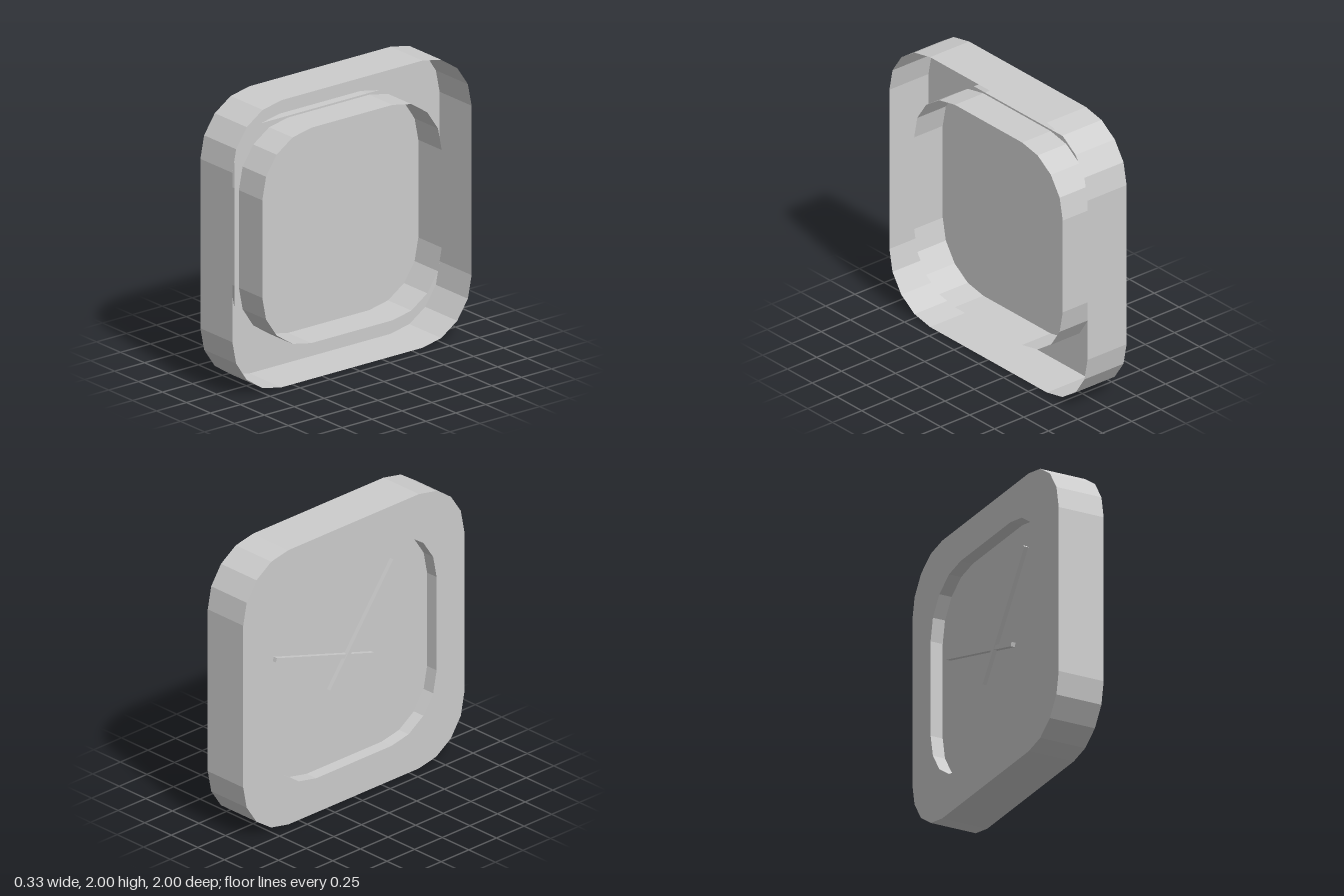
import * as THREE from 'three';

const HALF_DEPTH = 0.167, RADIUS = 0.41;

// Corner points of a rounded square, four facets per corner, anticlockwise
function roundedSquare(half) {
  const points = [], c = half - RADIUS;
  for (let corner = 0; corner < 4; corner++) {
    const mid = Math.PI / 4 + corner * Math.PI / 2;
    const cx = Math.sign(Math.cos(mid)) * c, cy = Math.sign(Math.sin(mid)) * c;
    for (let i = 0; i <= 4; i++) {
      const a = (corner + i / 4) * Math.PI / 2;
      points.push(new THREE.Vector2(cx + RADIUS * Math.cos(a), cy + RADIUS * Math.sin(a)));
    }
  }
  return points;
}

// Thin open wall following a closed outline, front to back
function wall(points) {
  const pos = [], d = HALF_DEPTH;
  points.forEach((p, i) => {
    const q = points[(i + 1) % points.length];
    pos.push(p.x, p.y, -d, q.x, q.y, -d, q.x, q.y, d);
    pos.push(p.x, p.y, -d, q.x, q.y, d, p.x, p.y, d);
  });
  const geometry = new THREE.BufferGeometry();
  geometry.setAttribute('position', new THREE.Float32BufferAttribute(pos, 3));
  geometry.computeVertexNormals();
  return geometry;
}

export function createModel() {
  const grey = new THREE.MeshStandardMaterial({ color: 0xcccccc, side: THREE.DoubleSide, flatShading: true });
  grey.name = 'light grey';

  // The clock is built facing +z, then turned to face -x
  const clock = new THREE.Group();
  clock.name = 'wallClock';
  clock.rotation.y = -Math.PI / 2;
  clock.position.y = 1;

  function add(name, geometry, z = 0) {
    const mesh = new THREE.Mesh(geometry, grey);
    mesh.name = name;
    mesh.position.z = z;
    clock.add(mesh);
    return mesh;
  }

  const outer = roundedSquare(1), inner = roundedSquare(0.75);

  // Hollow casing, open at the back
  add('outerWall', wall(outer));
  add('innerWall', wall(inner));
  const face = new THREE.Shape(outer);
  face.holes.push(new THREE.Path(inner));
  add('frontFrame', new THREE.ShapeGeometry(face), HALF_DEPTH);

  // Dial sheet set back inside the opening
  add('dial', new THREE.PlaneGeometry(1.57, 1.515), 0.077).position.y = 0.005;

  // Hands: bars with a short tail past the pivot
  function hand(name, angle, length, z) {
    const tail = 0.25;
    const bar = new THREE.BoxGeometry(0.03, length + tail, 0.03);
    bar.translate(0, (length - tail) / 2, 0);
    add(name, bar, z).rotation.z = angle;
  }
  hand('hourHand', 1.28, 0.67, 0.092);
  hand('minuteHand', -0.645, 0.7, 0.099);

  const model = new THREE.Group();
  model.name = 'model';
  model.add(clock);
  return model;
}
